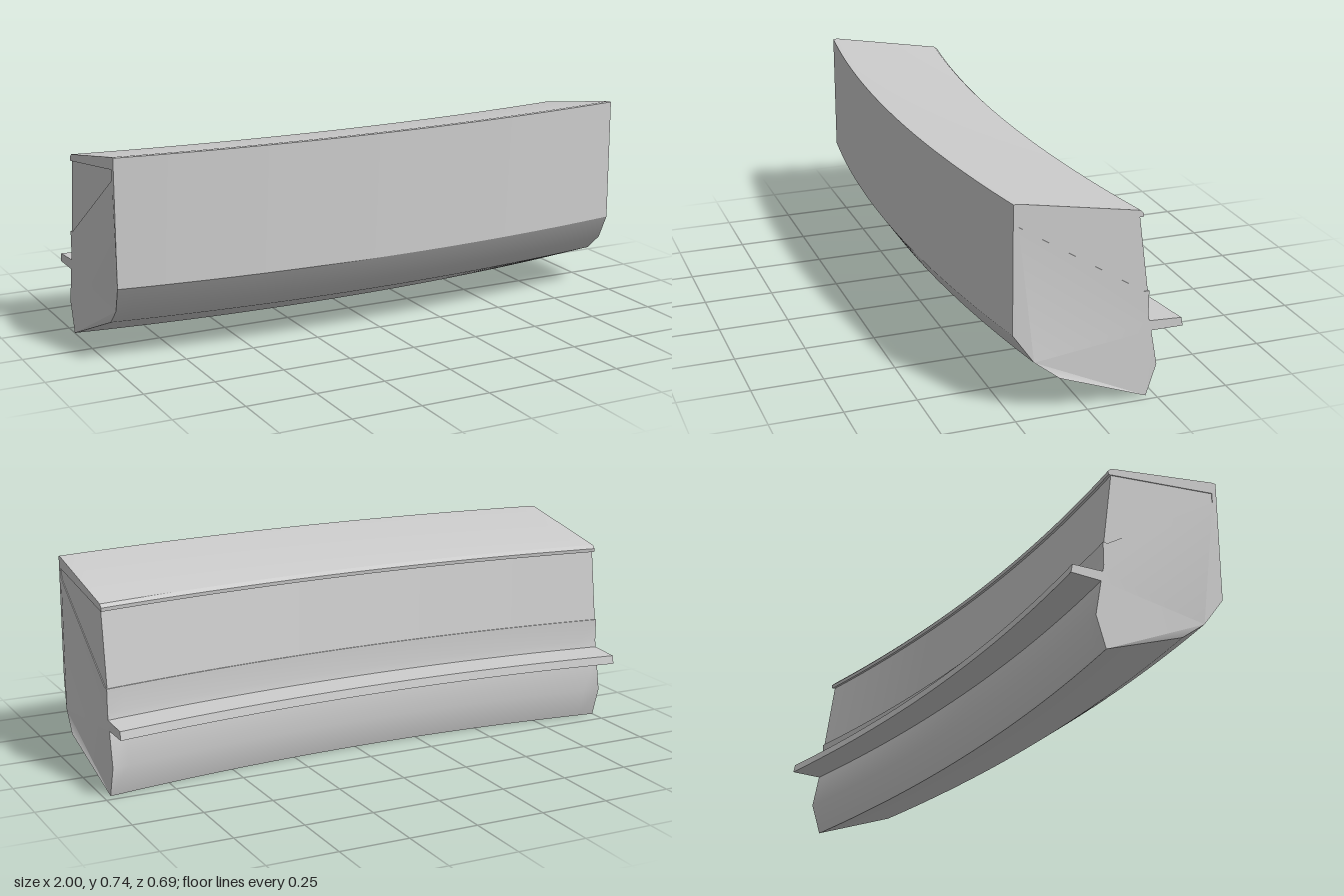
import * as THREE from 'three';
import { toCreasedNormals } from 'three/addons/utils/BufferGeometryUtils.js';

const X0 = -1, X1 = 0.975, STEPS = 32;

// Bow of the whole beam: how far forward a section sits at position x.
const bow = (x) => 0.0925 - 0.0787 * (x + 0.11) ** 2;

// Sweeps a closed section of [z, y, xShift] points (front, down, back, up) along the bow.
function sweep(section, inset = 0) {
  const n = section.length, pos = [], idx = [];
  for (let j = 0; j <= STEPS; j++) {
    const x = THREE.MathUtils.lerp(X0 + inset, X1 - inset, j / STEPS);
    for (const [z, y, dx = 0] of section) pos.push(x + dx, y, z + bow(x));
  }
  for (let j = 0; j < STEPS; j++) {
    for (let i = 0; i < n; i++) {
      const k = (i + 1) % n, a = j * n, b = a + n;
      idx.push(a + i, a + k, b + i, a + k, b + k, b + i);
    }
  }
  // end caps
  const flat = section.map(([z, y]) => new THREE.Vector2(z, y));
  const last = STEPS * n;
  for (const [a, b, c] of THREE.ShapeUtils.triangulateShape(flat, [])) {
    const [p, q] = THREE.ShapeUtils.area([flat[a], flat[b], flat[c]]) > 0 ? [c, b] : [b, c];
    idx.push(last + a, last + p, last + q, a, q, p);
  }
  const geo = new THREE.BufferGeometry();
  geo.setAttribute('position', new THREE.Float32BufferAttribute(pos, 3));
  geo.setIndex(idx);
  return toCreasedNormals(geo, 0.55);
}

export function createModel() {
  const group = new THREE.Group();
  const material = new THREE.MeshStandardMaterial({ color: 0xcccccc, side: THREE.DoubleSide });
  const add = (name, geo) => {
    const mesh = new THREE.Mesh(geo, material);
    mesh.name = name;
    group.add(mesh);
  };

  // main body with chamfered underside, rear ledge, top lip and a rear recess
  add('beamBody', sweep([
    [0.253, 0.737], [0.253, 0.293], [0.185, 0.195, 0.016], [0.1, 0.13, 0.026],
    [-0.218, 0], [-0.253, 0.11], [-0.23, 0.235],
    [-0.343, 0.235], [-0.337, 0.265], [-0.222, 0.271],
    [-0.218, 0.295], [-0.218, 0.378], [-0.2, 0.378],
    [0.235, 0.66], [0.235, 0.695],
    [-0.188, 0.637], [-0.19, 0.65], [-0.178, 0.662], [0.235, 0.737],
  ]));

  // wedge-shaped panel filling the rear recess
  add('rearPanel', sweep([
    [0.235, 0.695], [0.235, 0.66], [-0.2, 0.378], [-0.214, 0.378], [-0.178, 0.638],
  ], 0.003));

  return group;
}
